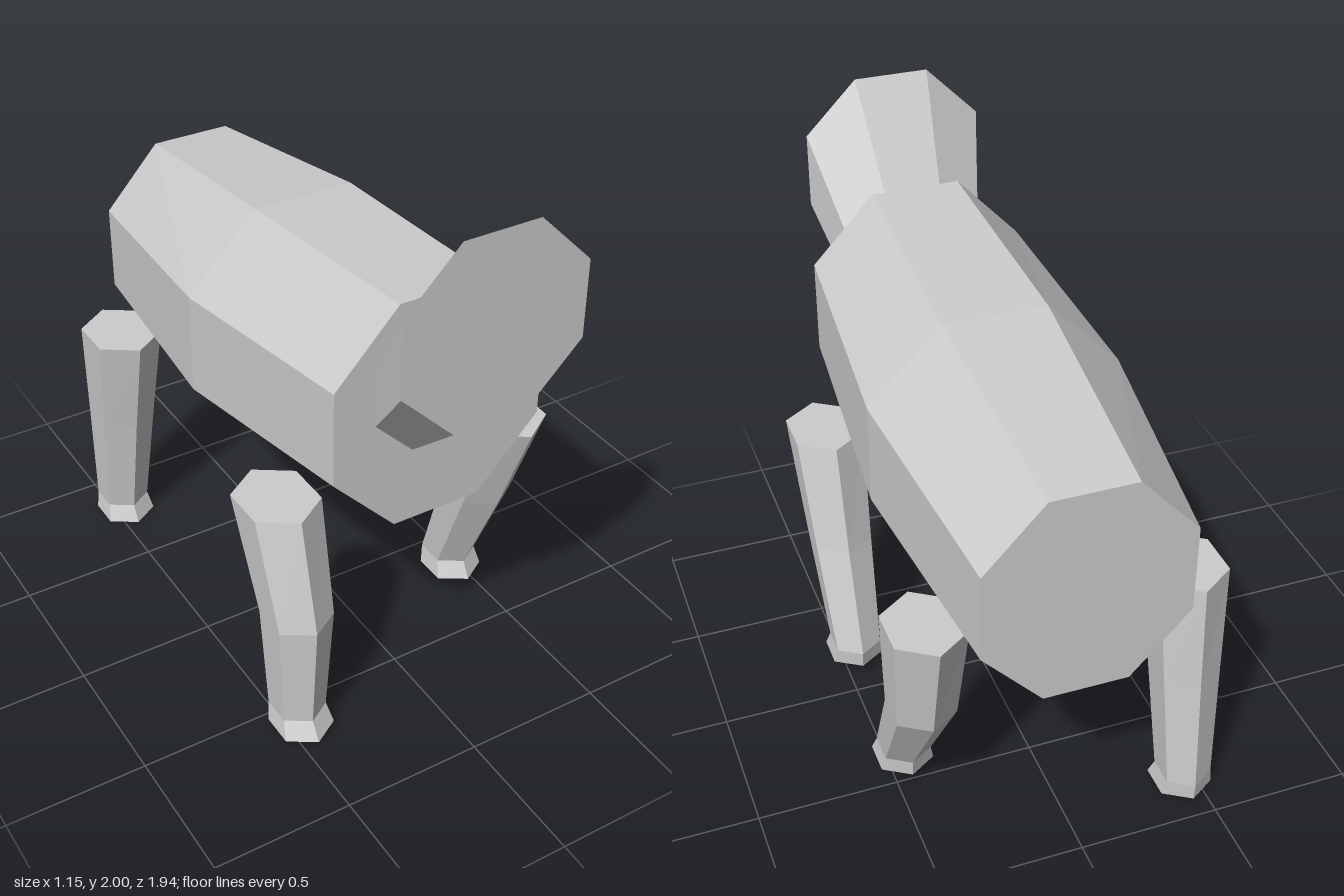
import * as THREE from 'three';

// Closed faceted loft: each ring is [centreX, centreY, z, radiusX, radiusY], ordered from +z to -z
function loft(rings, sides) {
  const points = rings.map(([x, y, z, rx, ry]) =>
    Array.from({ length: sides }, (_, j) => {
      const a = ((j + 0.5) / sides) * Math.PI * 2;
      return [x + rx * Math.cos(a), y + ry * Math.sin(a), z];
    }));
  const out = [];
  const tri = (a, b, c) => out.push(...a, ...b, ...c);
  for (let i = 0; i < rings.length - 1; i++) {
    for (let j = 0; j < sides; j++) {
      const k = (j + 1) % sides;
      const a = points[i][j], b = points[i][k], c = points[i + 1][j], d = points[i + 1][k];
      tri(a, c, b);
      tri(b, c, d);
    }
  }
  // End caps
  const first = points[0], last = points[points.length - 1];
  for (let j = 1; j < sides - 1; j++) {
    tri(first[0], first[j], first[j + 1]);
    tri(last[0], last[j + 1], last[j]);
  }
  const geometry = new THREE.BufferGeometry();
  geometry.setAttribute('position', new THREE.Float32BufferAttribute(out, 3));
  geometry.computeVertexNormals();
  return geometry;
}

export function createModel() {
  const group = new THREE.Group();
  const grey = new THREE.MeshStandardMaterial({ color: 0xcccccc, flatShading: true });
  grey.name = 'lightGrey';

  const add = (name, geometry) => {
    const mesh = new THREE.Mesh(geometry, grey);
    mesh.name = name;
    group.add(mesh);
  };

  // Octagonal barrel body, sloping down to the rear
  add('body', loft([
    [0, 1.255, 0.71, 0.422, 0.449],
    [0, 1.157, -0.13, 0.482, 0.484],
    [0, 1.095, -0.97, 0.384, 0.417],
  ], 8));

  // Flared neck, sunk a little into the body
  add('neck', loft([
    [0, 1.673, 0.97, 0.352, 0.354],
    [0, 1.22, 0.6, 0.221, 0.221],
  ], 8));

  // Hexagonal legs: z of hip, knee, ankle and sole, plus the sole height
  const legs = {
    frontLeftLeg: { side: 1, z: [0.455, 0.325, 0.175, 0.195], sole: 0.042 },
    frontRightLeg: { side: -1, z: [0.455, 0.582, 0.578, 0.605], sole: 0.02 },
    backLeftLeg: { side: 1, z: [-0.712, -0.657, -0.437, -0.417], sole: 0.057 },
    backRightLeg: { side: -1, z: [-0.712, -0.767, -0.825, -0.807], sole: 0 },
  };
  const radii = [[0.143, 0.165], [0.12, 0.133], [0.096, 0.106], [0.11, 0.12]];
  for (const [name, { side, z, sole }] of Object.entries(legs)) {
    const heights = [0.9, 0.5, sole + 0.064, sole];
    const rings = heights.map((y, i) => [side * 0.452, -z[i], y, ...radii[i]]);
    add(name, loft(rings, 6).rotateX(-Math.PI / 2));
  }
  return group;
}
